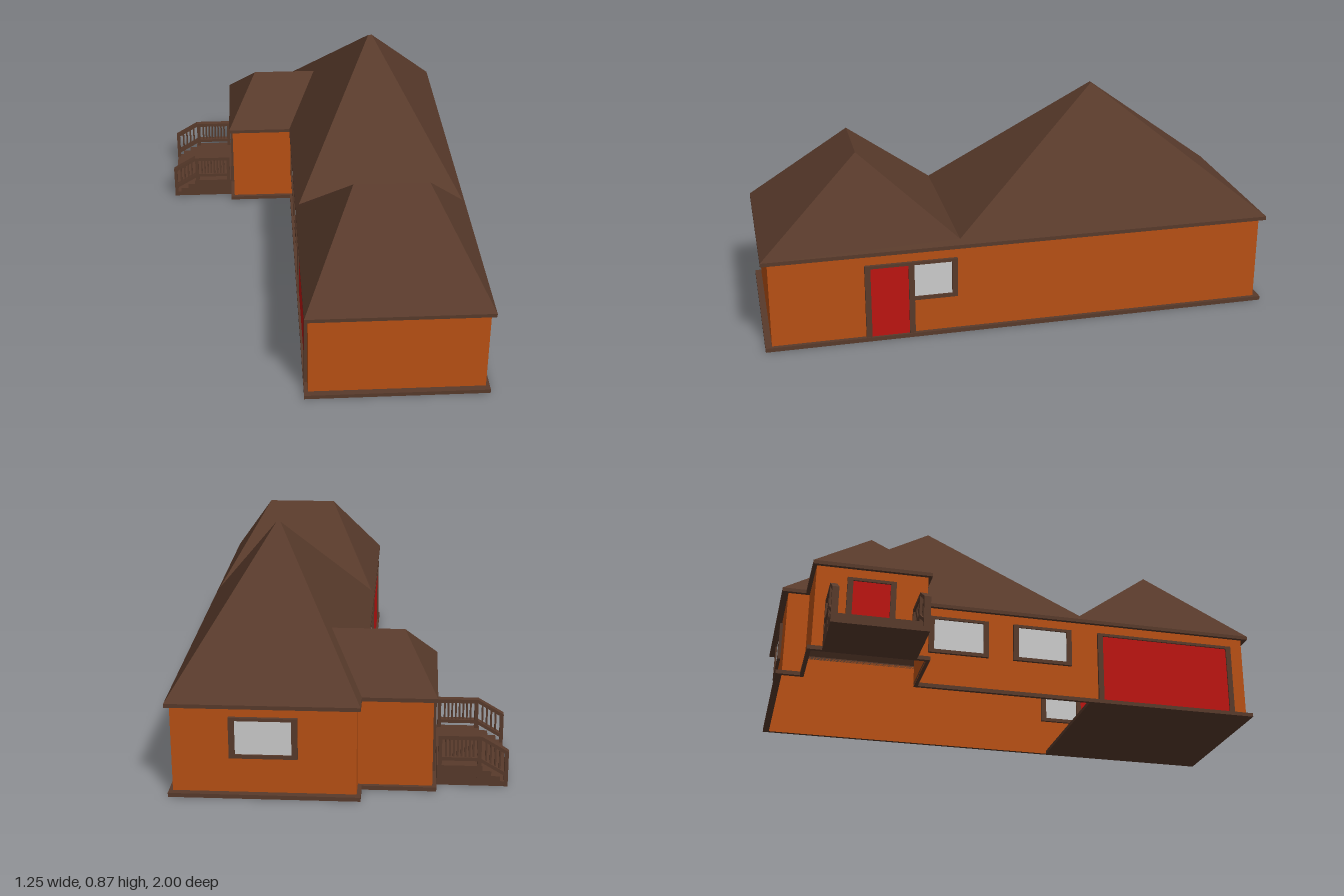
import * as THREE from 'three';

const paint = (color) => new THREE.MeshStandardMaterial({ color, side: THREE.DoubleSide, flatShading: true });
const brown = paint(0x583a2b), brick = paint(0xb85014), red = paint(0xbc1411), glass = paint(0xcccccc);

// footprint of the walls and of the overhanging trim, as [x, z]
const wallPlan = [[-.07, -.975], [.605, -.975], [.605, .975], [-.07, .975],
  [-.07, -.455], [-.345, -.455], [-.345, -.89], [-.07, -.89]];
const trimPlan = [[-.085, -1], [.62, -1], [.62, 1], [-.085, 1],
  [-.085, -.44], [-.36, -.44], [-.36, -.905], [-.085, -.905]];

function add(parent, name, geometry, material) {
  const mesh = new THREE.Mesh(geometry, material);
  mesh.name = name;
  parent.add(mesh);
  return mesh;
}

// box given by its limits
function box(parent, name, material, x0, x1, y0, y1, z0, z1) {
  const mesh = add(parent, name, new THREE.BoxGeometry(x1 - x0, y1 - y0, z1 - z0), material);
  mesh.position.set((x0 + x1) / 2, (y0 + y1) / 2, (z0 + z1) / 2);
  return mesh;
}

// flat polygons, each split into a fan of triangles
function polygons(faces) {
  const out = [];
  for (const f of faces)
    for (let i = 1; i < f.length - 1; i++) out.push(...f[0], ...f[i], ...f[i + 1]);
  const g = new THREE.BufferGeometry();
  g.setAttribute('position', new THREE.Float32BufferAttribute(out, 3));
  g.computeVertexNormals();
  return g;
}

// ledge that runs round the outside of the walls
function ledge(parent, name, bottom, top) {
  const toPoints = (plan) => plan.map(([x, z]) => new THREE.Vector2(x, z));
  const shape = new THREE.Shape(toPoints(trimPlan));
  shape.holes.push(new THREE.Path(toPoints(wallPlan)));
  const g = new THREE.ExtrudeGeometry(shape, { depth: top - bottom, bevelEnabled: false });
  g.rotateX(Math.PI / 2).translate(0, top, 0);
  add(parent, name, g, brown);
}

// framed door or window, centred on the wall at x, z and turned to face outwards
function opening(parent, name, x, z, turn, width, y0, material) {
  const group = new THREE.Group(), w = width / 2, d = .012, y1 = .315, side = .022, isDoor = y0 < .1;
  group.name = name;
  const sill = isDoor ? y0 : y0 + .015;
  box(group, name + 'Panel', material, -w + side, w - side, sill, y1 - .012, -d / 2, d / 2);
  for (const s of [-1, 1])
    box(group, name + 'Jamb', brown, Math.min(s * w, s * (w - side)), Math.max(s * w, s * (w - side)), y0, y1, -d, d);
  box(group, name + 'Lintel', brown, -w + side, w - side, y1 - .012, y1, -d, d);
  if (!isDoor) box(group, name + 'Sill', brown, -w + side, w - side, y0, sill, -d, d);
  group.position.set(x, 0, z);
  group.rotation.y = turn;
  parent.add(group);
}

function roofs(parent) {
  const e = .37;
  const valley = [[-.071, .39, .245], [.606, .39, .245]];
  const eave = [[-.085, e, .245], [.62, e, .245]];
  const back = [[-.085, e, -1], [.62, e, -1]];
  const front = [[-.085, e, 1], [.62, e, 1]];
  const peak = [[.26, .87, -.36], [.275, .87, -.36]];
  const ridge = [[.12, .70, .61], [.41, .70, .61]];
  add(parent, 'mainRoof', polygons([
    [back[1], back[0], peak[0], peak[1]],
    [valley[0], valley[1], peak[1], peak[0]],
    [back[0], eave[0], valley[0], peak[0]],
    [eave[1], back[1], peak[1], valley[1]],
  ]), brown);
  add(parent, 'garageRoof', polygons([
    [front[0], front[1], ridge[1], ridge[0]],
    [valley[1], valley[0], ridge[0], ridge[1]],
    [eave[0], front[0], ridge[0], valley[0]],
    [front[1], eave[1], valley[1], ridge[1]],
  ]), brown);
  // porch wing roof, running into the side of the main roof
  const a = [-.36, e, -.905], b = [-.36, e, -.44], c = [-.085, e, -.44], d = [-.085, e, -.905];
  const p = [-.235, .55, -.6725], q = [.04, .55, -.6725];
  add(parent, 'wingRoof', polygons([[a, b, p], [b, c, q, p], [d, a, p, q]]), brown);
}

// railing of one side of the porch
function railing(parent, z) {
  const group = new THREE.Group(), t = .0125;
  group.name = 'porchRailing';
  const bar = (x0, x1, y0, y1, depth = t) => box(group, 'railingPost', brown, x0, x1, y0, y1, z - depth, z + depth);
  bar(-.625, -.611, 0, .14);
  bar(-.525, -.51, .0, .2);
  bar(-.379, -.365, .08, .2);
  bar(-.51, -.379, .185, .2);
  bar(-.51, -.379, .1, .114);
  for (let i = 1; i <= 8; i++) {
    const x = -.51 + .131 * i / 9;
    bar(x - .0035, x + .0035, .114, .185, .006);
  }
  // sloping rails beside the steps
  for (const y of [.125, .035]) {
    const rail = new THREE.Shape([[-.625, y], [-.525, y + .06], [-.525, y + .075], [-.625, y + .015]]
      .map(([x, h]) => new THREE.Vector2(x, h)));
    const g = new THREE.ExtrudeGeometry(rail, { depth: 2 * t, bevelEnabled: false });
    add(group, 'slopingRail', g.translate(0, 0, z - t), brown);
  }
  for (let i = 1; i <= 4; i++) {
    const x = -.611 + .086 * i / 5, rise = (x + .625) * .6;
    bar(x - .0035, x + .0035, .045 + rise, .13 + rise, .006);
  }
  parent.add(group);
}

function porch(parent) {
  const group = new THREE.Group();
  group.name = 'porch';
  // deck and steps as one stepped block
  const s = new THREE.Shape();
  s.moveTo(-.36, 0);
  s.lineTo(-.36, .08);
  [-.53, -.563, -.596, -.624].forEach((x, i) => {
    s.lineTo(x, .08 - i * .02);
    s.lineTo(x, .06 - i * .02);
  });
  const g = new THREE.ExtrudeGeometry(s, { depth: .358, bevelEnabled: false });
  add(group, 'deckAndSteps', g.translate(0, 0, -.849), brown);
  for (const z of [-.8375, -.5025]) railing(group, z);
  parent.add(group);
}

export function createModel() {
  const house = new THREE.Group();
  house.name = 'house';

  // thin walls along the footprint
  add(house, 'walls', polygons(wallPlan.map(([x, z], i) => {
    const [x2, z2] = wallPlan[(i + 1) % wallPlan.length];
    return [[x, 0, z], [x, .365, z], [x2, .365, z2], [x2, 0, z2]];
  })), brick);
  ledge(house, 'baseTrim', 0, .016);
  ledge(house, 'eaveTrim', .355, .37);
  box(house, 'garageFloor', brown, -.07, .605, 0, .015, .28, .975);
  roofs(house);

  // doors and windows
  const q = Math.PI / 2;
  opening(house, 'sideDoor', .605, .52, q, .19, .015, red);
  opening(house, 'sideWindow', .605, .352, q, .19, .155, glass);
  opening(house, 'garageDoor', -.07, .62, -q, .6, .015, red);
  opening(house, 'yardWindow', -.07, .08, -q, .25, .155, glass);
  opening(house, 'yardWindow', -.07, -.275, -q, .25, .155, glass);
  opening(house, 'backWindow', .268, -.975, Math.PI, .25, .155, glass);
  opening(house, 'porchDoor', -.345, -.675, -q, .19, .015, red);
  porch(house);
  return house;
}
